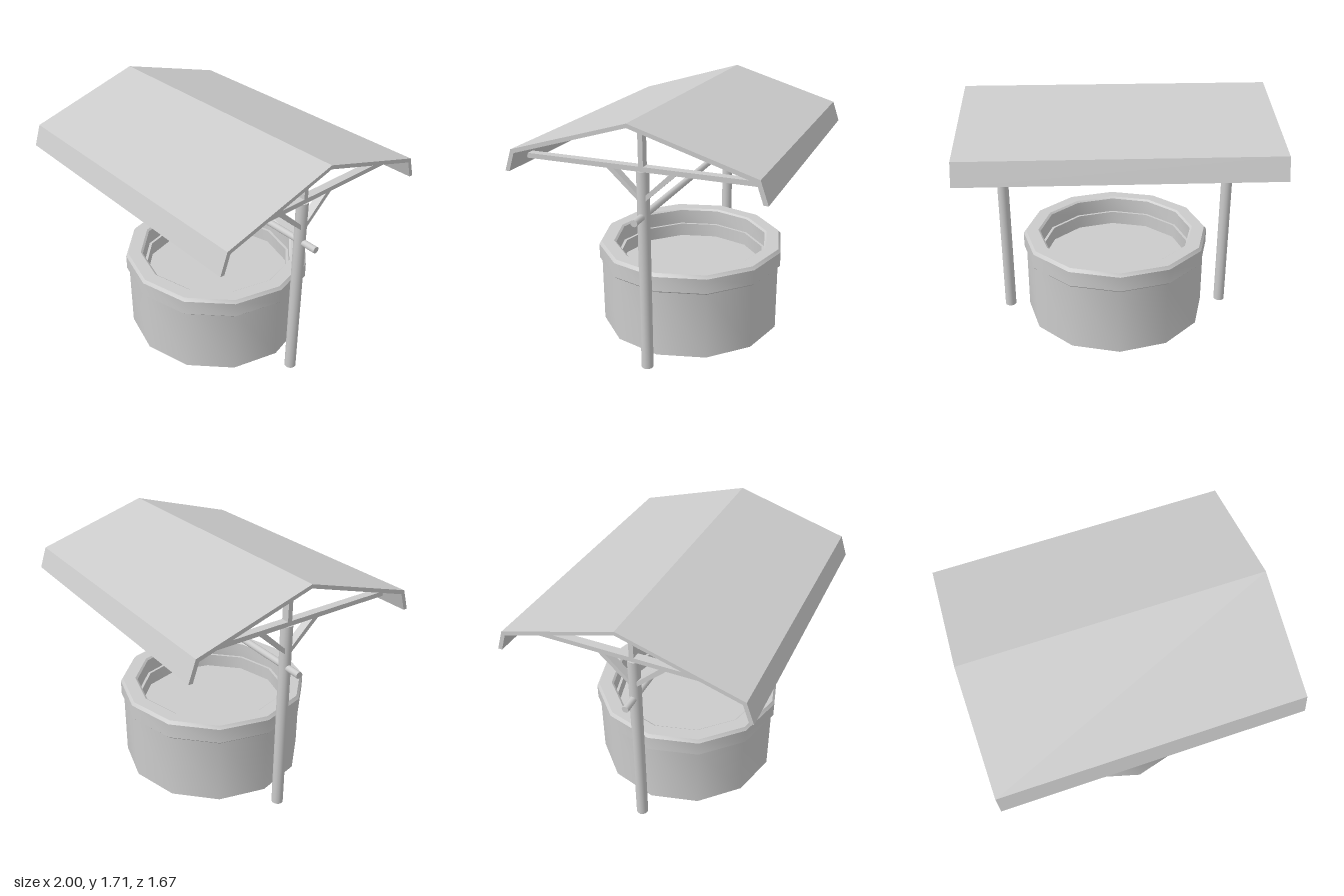
import * as THREE from 'three';
import { toCreasedNormals } from 'three/addons/utils/BufferGeometryUtils.js';

const SIDES = 12;

export function createModel() {
  const model = new THREE.Group();
  const grey = new THREE.MeshStandardMaterial({ color: 0xcccccc });
  const greyDouble = new THREE.MeshStandardMaterial({ color: 0xcccccc, side: THREE.DoubleSide });

  const add = (name, geometry, parent = model, material = grey) => {
    const mesh = new THREE.Mesh(geometry, material);
    mesh.name = name;
    parent.add(mesh);
    return mesh;
  };

  // Closed ring turned from [radius, y] points, listed bottom to top on the outside
  const ring = (profile) => {
    const points = [...profile, profile[0]].map(([r, y]) => new THREE.Vector2(r, y));
    return toCreasedNormals(new THREE.LatheGeometry(points, SIDES), 0.6);
  };

  // Side outline in [z, y], given a width along x and centred on x = 0
  const slab = (outline, width) => {
    const shape = new THREE.Shape(outline.map(([z, y]) => new THREE.Vector2(z, y)));
    const geometry = new THREE.ExtrudeGeometry(shape, { depth: width, bevelEnabled: false });
    return geometry.translate(0, 0, -width / 2).rotateY(-Math.PI / 2);
  };

  // Outline mirrored across z = 0 from its outer and inner halves (ridge to eave)
  const gable = (outer, inner) => {
    const mirror = (list) => list.map(([z, y]) => [-z, y]);
    return [
      ...outer, ...[...inner].reverse(),
      ...mirror(inner.slice(1)), ...mirror(outer.slice(1)).reverse(),
    ];
  };

  // Stone basin
  add('wall', ring([[0.53, 0], [0.655, 0], [0.655, 0.5], [0.53, 0.5]]));
  add('rim', ring([
    [0.55, 0.485], [0.662, 0.485], [0.672, 0.495], [0.672, 0.6],
    [0.655, 0.622], [0.565, 0.622], [0.55, 0.61],
  ]));
  add('water', new THREE.CircleGeometry(0.54, SIDES).rotateX(-Math.PI / 2), model, greyDouble)
    .position.y = 0.4;

  // Post and roof truss at each end
  for (const side of [1, -1]) {
    const frame = new THREE.Group();
    frame.name = side > 0 ? 'leftFrame' : 'rightFrame';
    frame.position.x = 0.8 * side;
    model.add(frame);

    add('post', new THREE.CylinderGeometry(0.04, 0.04, 1.37, 12).translate(0, 0.685, 0), frame);
    add('tieBeam', new THREE.BoxGeometry(0.055, 0.032, 1.58).translate(0, 1.385, 0), frame);
    add('kingPost', new THREE.BoxGeometry(0.055, 0.27, 0.032).translate(0, 1.53, 0), frame);
    add('rafters', slab(gable(
      [[0, 1.68], [0.77, 1.452]],
      [[0, 1.655], [0.765, 1.432]],
    ), 0.055), frame);

    for (const dir of [1, -1]) {
      const corners = [[0.23, 1.372], [0.183, 1.372], [0.025, 1.22], [0.025, 1.183]];
      add('brace', slab(corners.map(([z, y]) => [z * dir, y]), 0.055), frame);
    }
  }

  // Axle through both posts
  add('axle', new THREE.CylinderGeometry(0.023, 0.023, 1.88, 12).rotateZ(Math.PI / 2))
    .position.y = 1.08;

  // Roof shell with turned-down eaves
  add('roof', slab(gable(
    [[0, 1.706], [0.787, 1.472], [0.837, 1.33]],
    [[0, 1.68], [0.766, 1.45], [0.808, 1.33]],
  ), 2));

  return model;
}
